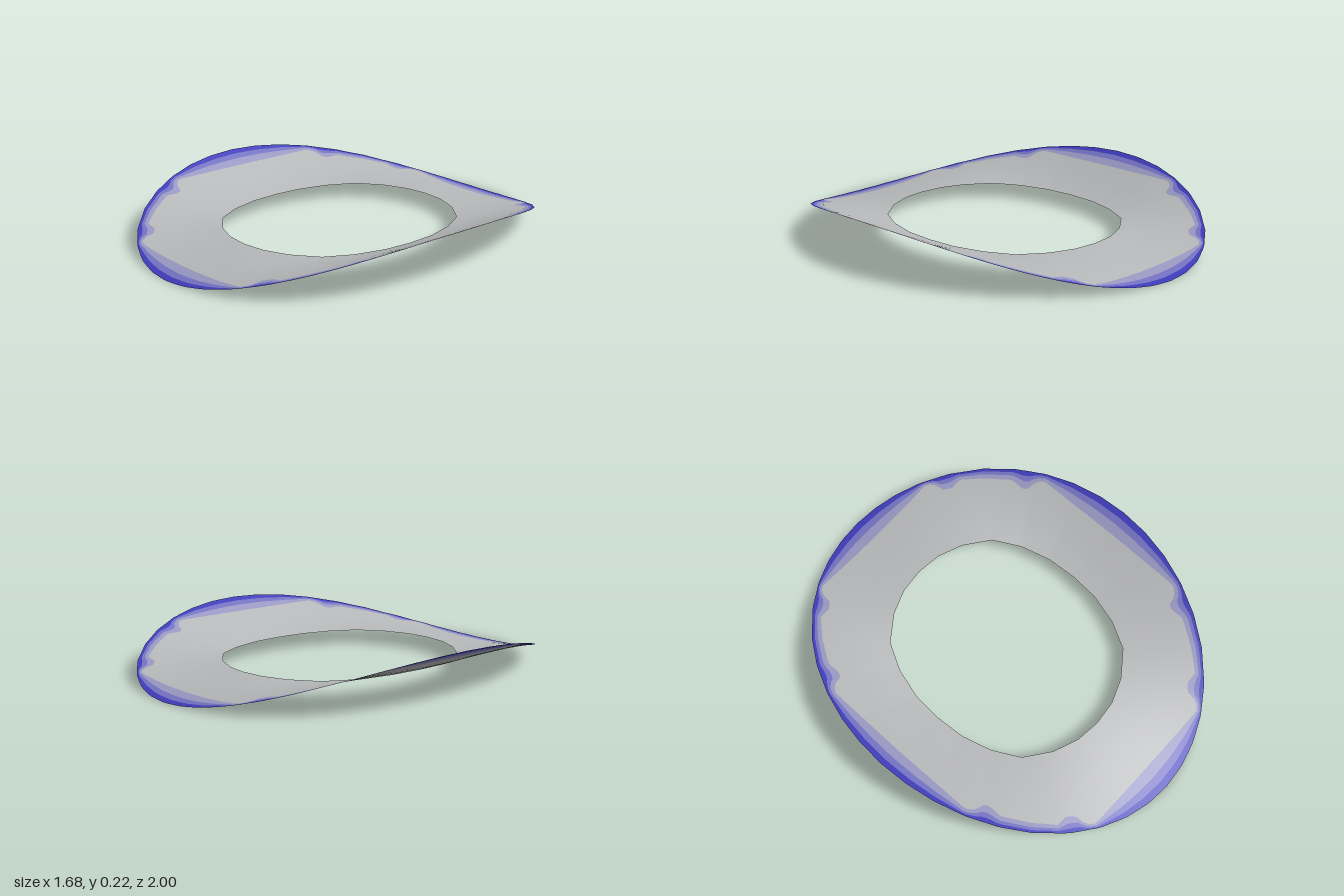
import * as THREE from 'three';

const STEPS = 240; // samples around the ring

// Quarter outlines as [x, z], running from the +z axis to the +x axis
const outer = [];
for (let k = 0; k <= 5; k++) outer.push([0.12 * k, Math.sqrt(1 - (k / 7) ** 2)]);
for (let k = 4; k >= 0; k--) outer.push([0.84 * Math.sqrt(1 - (k / 7) ** 2), k / 7]);
const inner = [[0, 0.57], [0.12, 0.557], [0.24, 0.51], [0.36, 0.42], [0.43, 0.29], [0.47, 0.145], [0.48, 0]];
const borderInner = [[0, 0.875], [0.36, 0.875], [0.395, 0.85], [0.4, 0.79], [0.43, 0.757], [0.49, 0.755],
  [0.57, 0.66], [0.645, 0.54], [0.64, 0.475], [0.66, 0.45], [0.7, 0.445], [0.73, 0.41], [0.735, 0]];

// Distance from the centre to a quarter outline along direction (dx, dz), both >= 0
function reach(line, dx, dz) {
  for (let i = 0; i < line.length - 1; i++) {
    const [ax, az] = line[i], [bx, bz] = line[i + 1];
    const ca = ax * dz - az * dx, cb = bx * dz - bz * dx;
    if (ca <= 1e-9 && cb >= -1e-9) {
      const s = ca / (ca - cb || 1);
      return Math.hypot(ax + (bx - ax) * s, az + (bz - az) * s);
    }
  }
  return line[line.length - 1][0];
}

export function createModel() {
  const paint = (name, color) => new THREE.MeshStandardMaterial({ name, color, side: THREE.DoubleSide });
  // Each band covers a range of rings, from the hole to the rim
  const bands = [
    { name: 'saddleRing', from: 0, to: 4, material: paint('light grey', 0xb7b8ba) },
    { name: 'innerBorder', from: 4, to: 5, material: paint('lavender', 0x9898c2) },
    { name: 'middleBorder', from: 5, to: 6, material: paint('soft blue', 0x7472c2) },
    { name: 'outerBorder', from: 6, to: 7, material: paint('deep blue', 0x3e3cba) },
  ];
  const rings = 8;

  // Saddle surface: level at the hole, rising to the sides, falling to front and back
  const points = [];
  for (let i = 0; i < STEPS; i++) {
    const angle = (i / STEPS) * Math.PI * 2;
    const sx = Math.sin(angle), sz = Math.cos(angle);
    const dx = Math.abs(sx), dz = Math.abs(sz);
    const r0 = reach(inner, dx, dz), r1 = reach(borderInner, dx, dz), r2 = reach(outer, dx, dz);
    const radii = [0, 0.25, 0.5, 0.75].map((f) => r0 + (r1 - r0) * f)
      .concat([0, 0.42, 0.72, 1].map((f) => r1 + (r2 - r1) * f));
    const rimHeight = 0.225 * (r2 * dx / 0.84) ** 2;
    for (const r of radii) {
      const t = ((r - r0) / (r2 - r0)) ** 1.2;
      points.push(r * sx, 0.068 + (rimHeight - 0.068) * t, r * sz);
    }
  }

  const facesBetween = (from, to) => {
    const index = [];
    for (let i = 0; i < STEPS; i++) {
      const p = i * rings, q = ((i + 1) % STEPS) * rings;
      for (let j = from; j < to; j++) {
        index.push(p + j, p + j + 1, q + j + 1, p + j, q + j + 1, q + j);
      }
    }
    return index;
  };

  // Normals are shared so shading stays smooth across the bands
  const surface = new THREE.BufferGeometry();
  surface.setAttribute('position', new THREE.Float32BufferAttribute(points, 3));
  surface.setIndex(facesBetween(0, rings - 1));
  surface.computeVertexNormals();

  const model = new THREE.Group();
  model.name = 'curvedRing';
  for (const { name, from, to, material } of bands) {
    const geometry = surface.clone();
    geometry.setIndex(facesBetween(from, to));
    const mesh = new THREE.Mesh(geometry, material);
    mesh.name = name;
    model.add(mesh);
  }
  return model;
}
